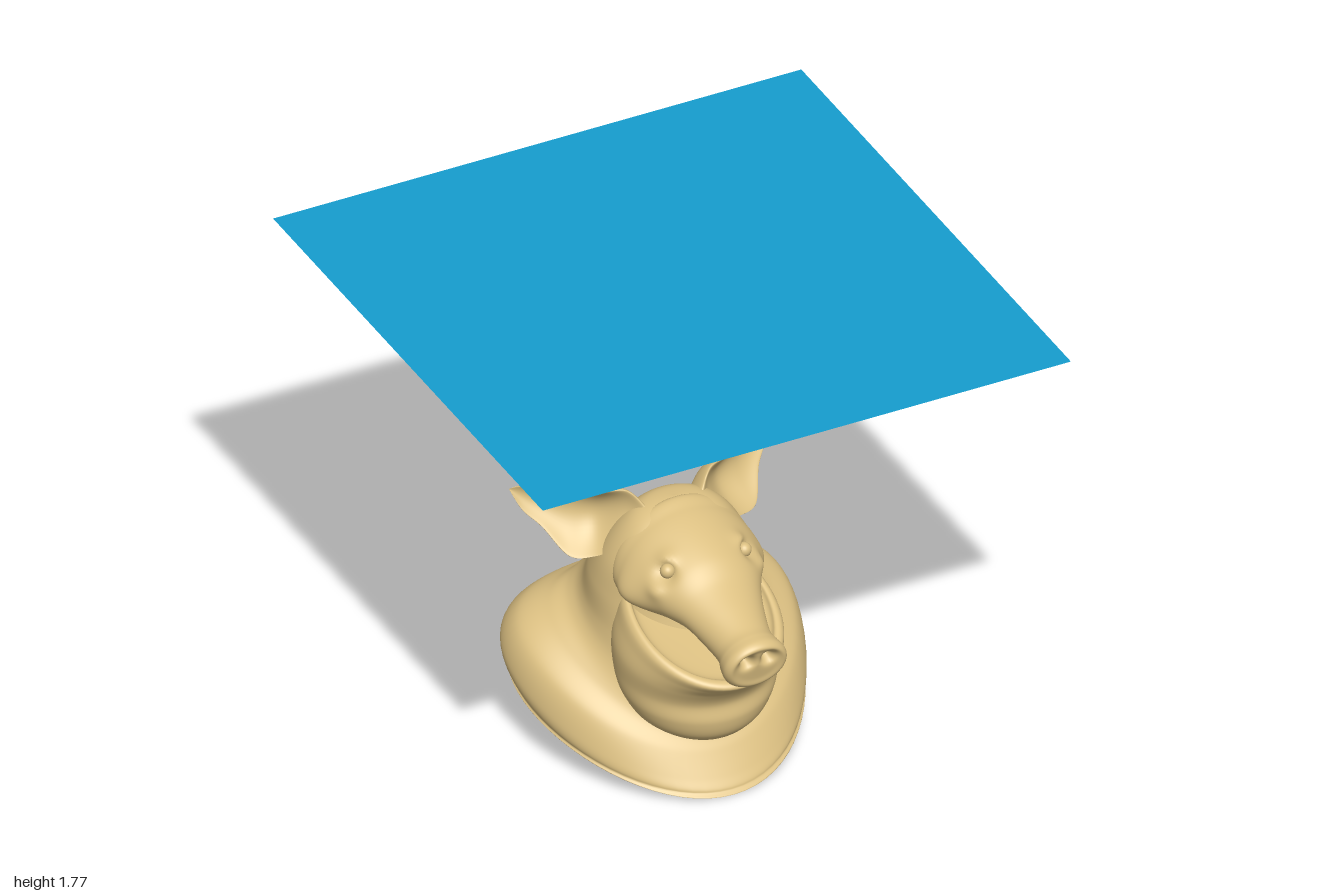
import * as THREE from 'three';
import { mergeVertices } from 'three/addons/utils/BufferGeometryUtils.js';

const clay = new THREE.MeshStandardMaterial({ color: 0xdcc082 });
const blue = new THREE.MeshStandardMaterial({ color: 0x159dce, side: THREE.DoubleSide });

// Smoothly interpolate whole rows of section parameters
function blend(rows, u) {
  const n = rows.length - 1;
  const i = Math.min(Math.floor(u * n), n - 1);
  const f = u * n - i;
  const [a, b, c, d] = [i - 1, i, i + 1, i + 2].map(j => rows[THREE.MathUtils.clamp(j, 0, n)]);
  return b.map((p, k) => p + 0.5 * f * (c[k] - a[k]
    + f * (2 * a[k] - 5 * p + 4 * c[k] - d[k] + f * (3 * (p - c[k]) + d[k] - a[k]))));
}

// Loft closed loops through the sections; optional bumps push the surface locally
function loft(rows, ring, bumps = [], segs = 72, perSection = 9) {
  const rings = (rows.length - 1) * perSection;
  const pos = [], idx = [];
  for (let r = 0; r <= rings; r++) {
    const sec = blend(rows, r / rings);
    for (let j = 0; j < segs; j++) {
      const p = ring(sec, j / segs * Math.PI * 2);
      const q = p.clone();
      for (const [x, y, z, rad, dx, dy, dz] of bumps) {
        for (const m of [1, -1]) {
          const d2 = (p.x - m * x) ** 2 + (p.y - y) ** 2 + (p.z - z) ** 2;
          const g = Math.exp(-d2 / (rad * rad));
          q.x += m * dx * g; q.y += dy * g; q.z += dz * g;
        }
      }
      pos.push(q.x, q.y, q.z);
      if (r < rings) {
        const a = r * segs + j, b = r * segs + (j + 1) % segs;
        idx.push(a, b, a + segs, b, b + segs, a + segs);
      }
    }
  }
  // Turn the faces outward according to the signed volume
  const v = i => new THREE.Vector3().fromArray(pos, i * 3);
  let volume = 0;
  for (let i = 0; i < idx.length; i += 3) {
    volume += v(idx[i]).dot(v(idx[i + 1]).cross(v(idx[i + 2])));
  }
  if (volume < 0) idx.reverse();
  const g = new THREE.BufferGeometry();
  g.setAttribute('position', new THREE.Float32BufferAttribute(pos, 3));
  g.setIndex(idx);
  const merged = mergeVertices(g, 1e-5);
  merged.computeVertexNormals();
  return merged;
}

// Symmetric loop between two centre-line points: [zA, yA, zB, yB, halfWidth, shift to B, side lift]
function bodyRing([zA, yA, zB, yB, w, k, lift], t) {
  const c = Math.cos(t), side = Math.sin(t) ** 2;
  const s = (1 + c - k * side) / 2;
  return new THREE.Vector3(w * Math.sin(t), yB + (yA - yB) * s + lift * side, zB + (zA - zB) * s);
}

// Cupped ear loop: [top xyz, bottom xyz, cup depth, thickness]
const earRing = m => ([xT, yT, zT, xB, yB, zB, cup, thick], t) => {
  const s = (1 + Math.cos(t)) / 2, sn = Math.sin(t);
  return new THREE.Vector3(
    m * (xB + (xT - xB) * s - 0.4 * cup * sn * sn),
    yB + (yT - yB) * s,
    zB + (zT - zB) * s - cup * sn * sn + thick * sn);
};

const neck = [
  [0.01, 0.145, 0.01, 0.145, 0, 0, 0],
  [0.42, 0.00, -0.40, 0.29, 0.46, 0.3, 0],
  [0.445, 0.005, -0.455, 0.33, 0.51, 0.3, 0],
  [0.42, 0.045, -0.475, 0.40, 0.53, 0.3, 0.02],
  [0.37, 0.12, -0.43, 0.455, 0.49, 0.25, 0.06],
  [0.33, 0.18, -0.37, 0.50, 0.39, 0.2, 0.07],
  [0.30, 0.30, -0.355, 0.55, 0.325, 0.1, 0.04],
  [0.26, 0.45, -0.32, 0.62, 0.295, 0, 0],
  [0.22, 0.60, -0.25, 0.70, 0.285, 0, 0],
  [0.21, 0.74, -0.18, 0.79, 0.255, 0, 0],
  [0.18, 0.86, -0.12, 0.88, 0.19, 0, 0],
  [0.10, 0.92, -0.06, 0.93, 0.11, 0, 0],
  [0.02, 0.94, 0.02, 0.94, 0, 0, 0],
];

const face = [
  [0.00, 0.78, 0.00, 0.78, 0, 0, 0],
  [0.02, 0.935, 0.02, 0.62, 0.22, 0.2, 0],
  [0.10, 0.93, 0.11, 0.61, 0.245, 0.2, 0],
  [0.20, 0.90, 0.20, 0.60, 0.23, 0.2, 0],
  [0.30, 0.855, 0.28, 0.60, 0.19, 0.1, 0],
  [0.38, 0.80, 0.36, 0.595, 0.15, 0, 0],
  [0.48, 0.755, 0.44, 0.57, 0.12, 0, 0],
  [0.56, 0.725, 0.515, 0.545, 0.103, 0, 0],
  [0.605, 0.718, 0.555, 0.52, 0.112, 0, 0],
  [0.64, 0.712, 0.595, 0.515, 0.117, 0, 0],
  [0.66, 0.695, 0.62, 0.53, 0.102, 0, 0],
  [0.65, 0.67, 0.625, 0.56, 0.07, 0, 0],
  [0.64, 0.62, 0.64, 0.62, 0, 0, 0],
];
// Nostrils, eye sockets, brows and cheeks
const faceBumps = [
  [0.04, 0.64, 0.645, 0.022, 0, 0, -0.05],
  [0.165, 0.815, 0.26, 0.035, -0.03, 0, -0.015],
  [0.15, 0.86, 0.24, 0.035, 0.014, 0.012, 0.01],
  [0.19, 0.76, 0.26, 0.035, 0.012, 0, 0.01],
  [0.24, 0.67, 0.13, 0.08, 0.035, 0, 0.01],
];

const jaw = [
  [0.20, 0.18, 0.20, 0.18, 0, 0, 0],
  [0.34, 0.16, 0.00, 0.22, 0.15, 0, 0],
  [0.405, 0.20, -0.05, 0.27, 0.23, 0, 0],
  [0.43, 0.27, -0.08, 0.36, 0.275, 0, 0],
  [0.425, 0.34, -0.08, 0.46, 0.29, 0, 0],
  [0.46, 0.40, -0.08, 0.56, 0.295, 0, 0],
  [0.50, 0.435, -0.08, 0.66, 0.28, 0, 0],
  [0.53, 0.465, -0.08, 0.72, 0.265, 0, 0],
  [0.505, 0.485, -0.06, 0.73, 0.24, 0, 0],
  [0.44, 0.475, -0.02, 0.68, 0.20, 0, 0],
  [0.20, 0.54, 0.20, 0.54, 0, 0, 0],
];

const ear = [
  [0.10, 0.92, 0.00, 0.16, 0.80, 0.00, 0.03, 0.06],
  [0.16, 0.982, -0.03, 0.21, 0.785, 0.01, 0.06, 0.035],
  [0.25, 0.975, -0.07, 0.28, 0.748, -0.03, 0.09, 0.02],
  [0.34, 0.98, -0.14, 0.355, 0.75, -0.07, 0.07, 0.017],
  [0.42, 0.975, -0.20, 0.41, 0.83, -0.16, 0.04, 0.014],
  [0.46, 0.967, -0.235, 0.46, 0.885, -0.21, 0.02, 0.01],
  [0.49, 0.955, -0.25, 0.49, 0.955, -0.25, 0, 0],
];

export function createModel() {
  const root = new THREE.Group();
  root.name = 'pigBustWithPanel';
  const head = new THREE.Group();
  head.name = 'pigBust';
  root.add(head);

  const add = (parent, name, geometry, material) => {
    const mesh = new THREE.Mesh(geometry, material);
    mesh.name = name;
    parent.add(mesh);
    return mesh;
  };

  add(head, 'neckAndShoulders', loft(neck, bodyRing), clay);
  add(head, 'faceAndSnout', loft(face, bodyRing, faceBumps, 96, 10), clay);
  add(head, 'lowerJaw', loft(jaw, bodyRing), clay);

  // Ears and eyes, mirrored
  for (const [side, m] of [['left', 1], ['right', -1]]) {
    add(head, side + 'Ear', loft(ear, earRing(m), [], 48, 8), clay);
    const eye = add(head, side + 'Eye', new THREE.SphereGeometry(0.026, 24, 16), clay);
    eye.position.set(m * 0.145, 0.815, 0.25);
  }

  // Flat square panel above the bust
  const panel = add(root, 'overheadPanel', new THREE.PlaneGeometry(2, 2), blue);
  panel.rotation.x = -Math.PI / 2;
  panel.position.y = 1.76;
  return root;
}
